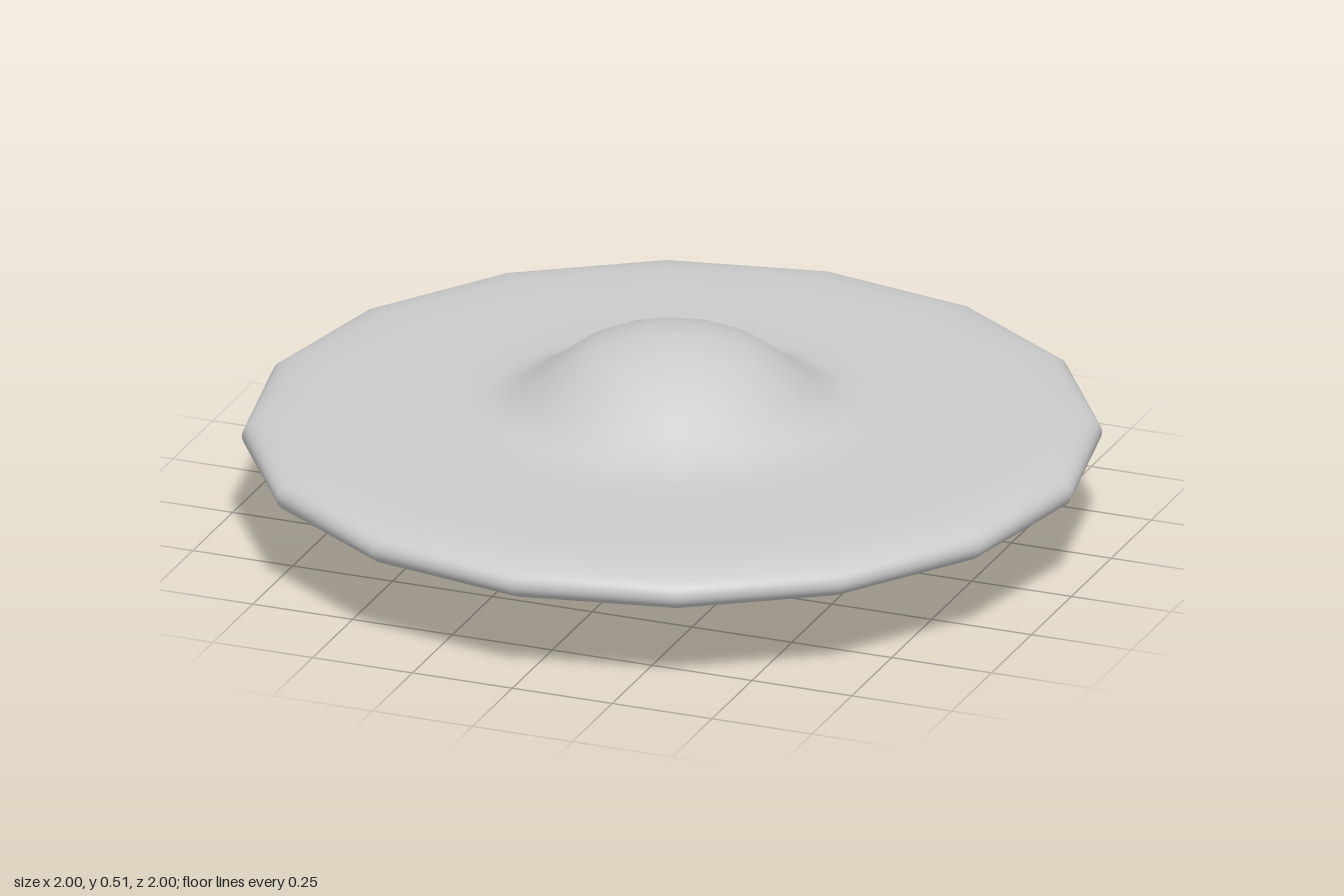
import * as THREE from 'three';

const MID = 0.255; // height of the rim's centre line

// Upper half of the profile from rim to crown: [radius, height above the centre line]
const HALF = [
  [1, 0], [0.993, 0.02], [0.97, 0.036], [0.92, 0.049], [0.84, 0.056], [0.65, 0.06],
  [0.5, 0.064], [0.43, 0.072], [0.38, 0.09], [0.33, 0.122], [0.27, 0.168],
  [0.2, 0.211], [0.1, 0.244], [0, 0.255],
];

export function createModel() {
  const group = new THREE.Group();
  group.name = 'flyingDisc';

  // Mirror the half profile and smooth it, running from bottom to top
  const lower = HALF.slice(1).reverse().map(([r, h]) => new THREE.Vector2(r, MID - h));
  const upper = HALF.map(([r, h]) => new THREE.Vector2(r, MID + h));
  const profile = new THREE.SplineCurve([...lower, ...upper]).getPoints(78);
  profile.forEach((p) => { p.x = THREE.MathUtils.clamp(p.x, 0, 1); });

  // Sixteen-sided saucer with a dome above and below
  const saucer = new THREE.Mesh(
    new THREE.LatheGeometry(profile, 16),
    new THREE.MeshStandardMaterial({ color: 0xcccccc }),
  );
  saucer.name = 'saucerHull';
  group.add(saucer);
  return group;
}
